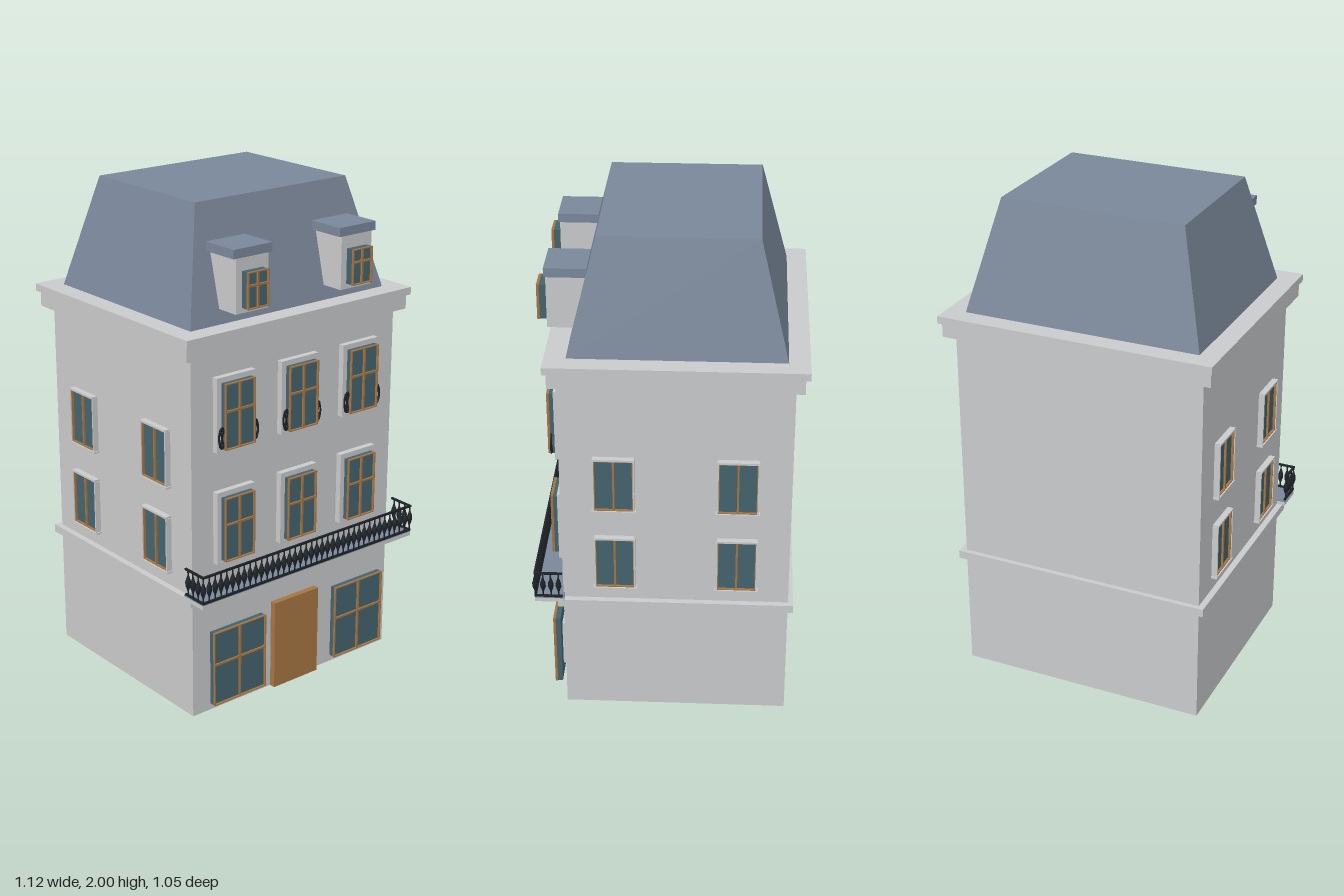
import * as THREE from 'three';
import { mergeGeometries } from 'three/addons/utils/BufferGeometryUtils.js';

const mat = (name, color) => {
  const m = new THREE.MeshStandardMaterial({ color });
  m.name = name;
  return m;
};

export function createModel() {
  const stone = mat('pale stone', 0xc9cacb);
  const slate = mat('slate', 0x7a879a);
  const glass = mat('teal glass', 0x44636e);
  const wood = mat('brown wood', 0xa67542);
  const iron = mat('black iron', 0x1e2328);
  const house = new THREE.Group();
  house.name = 'townhouse';

  const add = (parent, name, geometry, material) => {
    const m = new THREE.Mesh(geometry, material);
    m.name = name;
    parent.add(m);
    return m;
  };
  // Box geometry given by its limits on each axis
  const span = (x0, x1, y0, y1, z0, z1) =>
    new THREE.BoxGeometry(x1 - x0, y1 - y0, z1 - z0)
      .translate((x0 + x1) / 2, (y0 + y1) / 2, (z0 + z1) / 2);

  // Walls, string course and stepped cornice
  add(house, 'walls', span(-0.51, 0.51, 0, 1.48, -0.48, 0.405), stone);
  add(house, 'stringCourse', span(-0.535, 0.535, 0.485, 0.518, -0.5, 0.425), stone);
  add(house, 'lowerCornice', span(-0.55, 0.55, 1.47, 1.53, -0.512, 0.435), stone);
  add(house, 'upperCornice', span(-0.56, 0.56, 1.53, 1.56, -0.53, 0.45), stone);

  // Mansard roof: a box whose top corners are drawn inwards
  const roof = span(-0.48, 0.48, 1.56, 2, -0.45, 0.368);
  const p = roof.attributes.position;
  for (let i = 0; i < p.count; i++) {
    if (p.getY(i) < 1.9) continue;
    p.setX(i, Math.sign(p.getX(i)) * 0.37);
    p.setZ(i, p.getZ(i) > 0 ? 0.258 : -0.34);
  }
  roof.computeVertexNormals();
  add(house, 'mansardRoof', roof, slate);

  // Window facing +z with its back at z = 0: pane, thin wooden rim and glazing bars
  function makeWindow(name, w, h, barY, depth = 0.03) {
    const g = new THREE.Group();
    g.name = name;
    const zf = depth - 0.01, t = 0.004, b = 0.004;
    add(g, 'pane', span(-w / 2 + 0.001, w / 2 - 0.001, 0.001, h - 0.001, 0, zf), glass);
    const bars = [
      span(-w / 2, w / 2, h - t, h, zf, depth),
      span(-w / 2, w / 2, 0, t, zf, depth),
      span(-w / 2, -w / 2 + t, t, h - t, zf, depth),
      span(w / 2 - t, w / 2, t, h - t, zf, depth),
      span(-b, b, t, h - t, zf, depth - 0.002),
    ];
    if (barY) bars.push(span(-w / 2 + t, w / 2 - t, barY - b, barY + b, zf, depth - 0.003));
    add(g, 'frame', mergeGeometries(bars), wood);
    house.add(g);
    return g;
  }

  // Ground floor: door and two wide shop windows on recessed backings
  add(house, 'door', span(-0.115, 0.115, 0, 0.375, 0.4, 0.43), wood);
  for (const s of [-1, 1]) {
    add(house, 'shopWindowBacking', span(s * 0.315 - 0.08, s * 0.315 + 0.08, 0.1, 0.3, 0.4, 0.431), stone);
    makeWindow('shopWindow', 0.26, 0.315, 0.175).position.set(s * 0.315, 0.045, 0.43);
  }

  // Upper front windows with raised surrounds
  const scroll = new THREE.TorusGeometry(0.015, 0.004, 5, 14).scale(1, 2.4, 1);
  const cross = new THREE.BoxGeometry(0.005, 0.075, 0.005);
  for (const x of [-0.315, 0, 0.315]) {
    for (const y of [0.645, 1.1]) {
      add(house, 'windowSurround', span(x - 0.092, x + 0.092, y - 0.015, y + 0.28, 0.4, 0.43), stone);
      makeWindow('frontWindow', 0.144, 0.26, 0.15).position.set(x, y, 0.428);
    }
    // Wrought iron scrolls beside the top windows
    for (const s of [-1, 1]) {
      const guard = new THREE.Group();
      guard.name = 'windowGuard';
      add(guard, 'scroll', scroll, iron);
      for (const r of [-0.25, 0.25]) add(guard, 'scrollBar', cross, iron).rotation.z = r;
      guard.position.set(x + s * 0.08, 1.148, 0.444);
      house.add(guard);
    }
  }

  // Side windows with lintels and sills
  for (const s of [-1, 1])
    for (const z of [0.198, -0.275])
      for (const [y, h] of [[0.583, 0.22], [0.935, 0.22]]) {
        const w = makeWindow('sideWindow', 0.15, h, 0, 0.022);
        w.position.set(s * 0.508, y, z);
        w.rotation.y = s * Math.PI / 2;
        add(w, 'lintel', span(-0.078, 0.078, h, h + 0.008, 0, 0.027), stone);
        add(w, 'sill', span(-0.085, 0.085, -0.008, 0, 0, 0.028), stone);
        for (const e of [-1, 1])
          add(w, 'jamb', new THREE.BoxGeometry(0.006, h, 0.026).translate(e * 0.077, h / 2, 0.013), stone);
      }

  // Dormers with overhanging slabs
  for (const s of [-1, 1]) {
    const x = s * 0.258;
    add(house, 'dormer', span(x - 0.077, x + 0.077, 1.615, 1.828, 0.28, 0.45), stone);
    add(house, 'dormerRoof', span(x - 0.092, x + 0.092, 1.825, 1.86, 0.295, 0.455), slate);
    makeWindow('dormerWindow', 0.1, 0.14, 0.088, 0.04).position.set(x, 1.635, 0.449);
  }

  // Balcony slab with a slate floor
  add(house, 'balconySlab', span(-0.545, 0.545, 0.515, 0.532, 0.4, 0.515), stone);
  add(house, 'balconyFloor', span(-0.545, 0.545, 0.532, 0.537, 0.4, 0.515), slate);

  // Railing: rails and spindle-shaped balusters on three sides
  const railing = new THREE.Group();
  railing.name = 'balconyRailing';
  house.add(railing);
  for (const y of [0.54, 0.646]) {
    add(railing, 'frontRail', span(-0.545, 0.545, y - 0.004, y + 0.004, 0.508, 0.516), iron);
    for (const s of [-1, 1])
      add(railing, 'sideRail', span(s * 0.541 - 0.004, s * 0.541 + 0.004, y - 0.004, y + 0.004, 0.405, 0.512), iron);
  }
  const profile = [[0.003, 0], [0.003, 0.02], [0.011, 0.045], [0.011, 0.06], [0.003, 0.085], [0.003, 0.106]]
    .map(([r, y]) => new THREE.Vector2(r, y));
  const spindle = new THREE.LatheGeometry(profile, 6);
  const spots = [];
  for (let i = 0; i <= 38; i++) spots.push([-0.541 + i * 1.082 / 38, 0.512]);
  for (const s of [-1, 1])
    for (const z of [0.42, 0.45, 0.481]) spots.push([s * 0.541, z]);
  for (const [x, z] of spots) add(railing, 'baluster', spindle, iron).position.set(x, 0.54, z);

  return house;
}
